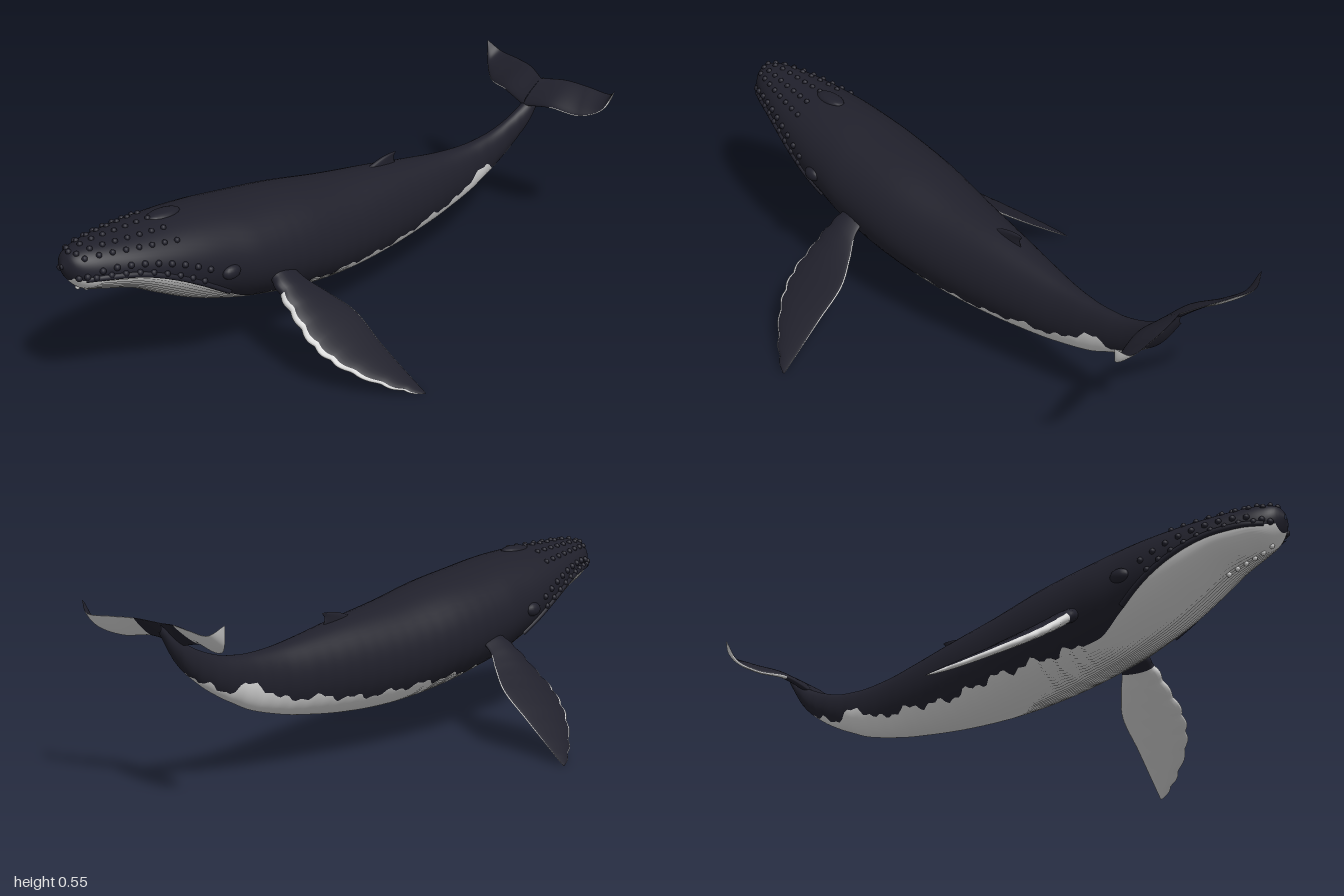
import * as THREE from 'three';
import { mergeGeometries } from 'three/addons/utils/BufferGeometryUtils.js';

const V = (x, y, z) => new THREE.Vector3(x, y, z);

// body stations, nose to tail: z, top y, underside y, half width, y of the colour edge
const STATIONS = [
  [1, 0.505, 0.49, 0.006, 0.495], [0.985, 0.532, 0.455, 0.04, 0.47], [0.95, 0.546, 0.418, 0.068, 0.462],
  [0.9, 0.552, 0.4, 0.09, 0.462], [0.8, 0.552, 0.372, 0.123, 0.448], [0.7, 0.552, 0.32, 0.148, 0.41],
  [0.6, 0.55, 0.27, 0.165, 0.355], [0.5, 0.543, 0.232, 0.175, 0.29], [0.4, 0.53, 0.203, 0.184, 0.238],
  [0.2, 0.505, 0.162, 0.178, 0.22], [0, 0.47, 0.142, 0.152, 0.214], [-0.2, 0.442, 0.147, 0.118, 0.208],
  [-0.4, 0.41, 0.172, 0.08, 0.238], [-0.5, 0.397, 0.193, 0.06, 0.245], [-0.6, 0.392, 0.222, 0.046, 0.3],
  [-0.66, 0.396, 0.25, 0.04, 0.31], [-0.72, 0.405, 0.28, 0.034, 0.3], [-0.8, 0.432, 0.33, 0.027, 0.34],
  [-0.88, 0.475, 0.4, 0.024, 0.4], [-0.95, 0.53, 0.505, 0.008, 0.5],
];

// smooth interpolation of the stations at any z
function station(z) {
  const S = STATIONS, last = S.length - 1;
  let k = 0;
  while (k < last - 1 && z < S[k + 1][0]) k++;
  const slope = (i, c) => {
    const a = S[Math.max(i - 1, 0)], b = S[Math.min(i + 1, last)];
    return (b[c] - a[c]) / (b[0] - a[0]);
  };
  const d = S[k + 1][0] - S[k][0], t = (z - S[k][0]) / d, t2 = t * t, t3 = t2 * t;
  const [top, bottom, w, edge] = [1, 2, 3, 4].map((c) =>
    (2 * t3 - 3 * t2 + 1) * S[k][c] + (t3 - 2 * t2 + t) * d * slope(k, c) +
    (3 * t2 - 2 * t3) * S[k + 1][c] + (t3 - t2) * d * slope(k + 1, c));
  const c = (top + bottom) / 2, h = (top - bottom) / 2;
  // ragged colour edge behind the throat
  const rag = z < 0.35 ? 0.008 * Math.sin(z * 47) + 0.006 * Math.sin(z * 113 + 1) : 0;
  const edgeAngle = Math.asin(THREE.MathUtils.clamp((edge + rag - c) / h, -0.995, 0.6));
  return { c, h, w, edgeAngle };
}

// point on the body skin; the lower half is slightly keeled
function skin(z, a, inset = 0) {
  const { c, h, w } = station(z);
  const cos = Math.cos(a), sin = Math.sin(a);
  const x = sin < 0 ? Math.sign(cos) * Math.abs(cos) ** 1.15 : cos;
  return V(x * (w - inset), c + sin * (h - inset), z);
}

// closed loops joined to a skin; isDark(row, column) picks the material group
function loft(rows, isDark, flip = false) {
  const n = rows[0].length, dark = [], light = [];
  for (let i = 0; i < rows.length - 1; i++) {
    for (let j = 0; j < n; j++) {
      const j2 = (j + 1) % n;
      const a = i * n + j, b = i * n + j2, c = a + n, d = b + n - 0;
      const tri = flip ? [a, b, c, b, d, c] : [a, c, b, b, c, d];
      (isDark(i, j) ? dark : light).push(...tri);
    }
  }
  const g = new THREE.BufferGeometry();
  g.setAttribute('position', new THREE.Float32BufferAttribute(rows.flat().flatMap((p) => [p.x, p.y, p.z]), 3));
  g.setIndex(dark.concat(light));
  g.addGroup(0, dark.length, 0);
  g.addGroup(dark.length, light.length, 1);
  g.computeVertexNormals();
  return g;
}

// fin between a leading and a trailing edge, with optional scallops in front
function fin({ lead, trail, thick, scallop = 0, side = 1, isDark, steps = 72, around = 24 }) {
  const L = new THREE.CatmullRomCurve3(lead), T = new THREE.CatmullRomCurve3(trail);
  const rows = [];
  for (let i = 0; i <= steps; i++) {
    const s = i / steps, l = L.getPoint(s), t = T.getPoint(s);
    const chord = t.clone().sub(l);
    const s0 = Math.max(s - 0.02, 0), s1 = Math.min(s + 0.02, 1);
    const span = L.getPoint(s1).add(T.getPoint(s1)).sub(L.getPoint(s0)).sub(T.getPoint(s0));
    const normal = span.cross(chord).normalize();
    const bump = scallop * Math.abs(Math.sin(s * Math.PI * 10)) * Math.min(1, s * 4);
    l.addScaledVector(chord.clone().normalize(), -bump);
    chord.subVectors(t, l);
    const half = thick * Math.sqrt(Math.max(0, 1 - s ** 3)) * (1 - 0.45 * s);
    const row = [];
    for (let j = 0; j < around; j++) {
      const a = (j / around) * Math.PI * 2, u = (1 - Math.cos(a)) / 2;
      const p = l.clone().addScaledVector(chord, u).addScaledVector(normal, half * Math.sin(a) * (1.25 - 0.8 * u));
      p.x *= side;
      row.push(p);
    }
    rows.push(row);
  }
  return loft(rows, (i, j) => isDark(i / steps, j), side < 0);
}

export function createModel() {
  const dark = new THREE.MeshStandardMaterial({ color: 0x20202b });
  dark.name = 'dark skin';
  const light = new THREE.MeshStandardMaterial({ color: 0xd6d6d6 });
  light.name = 'pale skin';
  const model = new THREE.Group();
  model.name = 'whale';
  const add = (name, geometry, material = [dark, light]) => {
    const m = new THREE.Mesh(geometry, material);
    m.name = name;
    model.add(m);
    return m;
  };

  // body with a dark back and a grooved pale throat and belly
  const UP = 32, LOW = 48, ROWS = 160, rows = [];
  for (let i = 0; i <= ROWS; i++) {
    const z = 1 - 1.95 * (i / ROWS) ** 1.3, e = station(z).edgeAngle;
    const groove = 0.005 * THREE.MathUtils.smoothstep(z, -0.05, 0.25) * (1 - THREE.MathUtils.smoothstep(z, 0.85, 0.97));
    const row = [];
    for (let j = 0; j < UP; j++) row.push(skin(z, e + (Math.PI - 2 * e) * (j / UP)));
    for (let j = 0; j < LOW; j++) {
      row.push(skin(z, Math.PI - e + (Math.PI + 2 * e) * (j / LOW), j % 2 ? groove : 0));
    }
    rows.push(row);
  }
  const zOf = (i) => rows[i][0].z;
  add('body', loft(rows, (i, j) => j < UP || zOf(i) < -0.84 || zOf(i) > 0.985));

  // knobs on the head and along the lips
  const knobs = [], chinKnobs = [];
  const knob = (list, p, r) => list.push(new THREE.SphereGeometry(r, 10, 8).translate(p.x, p.y, p.z));
  for (let k = 0; k < 10; k++) {
    const z = 0.975 - k * 0.04;
    if (k < 8) knob(knobs, skin(z, Math.PI / 2), 0.009);
    for (const side of [1, -1]) {
      const place = (zz, a, r) => {
        const p = skin(zz, a);
        p.x *= side;
        knob(knobs, p, r);
      };
      const e = station(z).edgeAngle;
      place(z, e + 0.14, 0.01);
      place(z - 0.018, e + 0.42, 0.01);
      if (k < 8) place(z - 0.01, 1.15, 0.009);
      if (k < 8) place(z - 0.022, 0.78, 0.009);
    }
  }
  for (let k = 0; k < 6; k++) knob(chinKnobs, skin(0.95 - k * 0.03, -Math.PI / 2), 0.008);
  add('headKnobs', mergeGeometries(knobs), dark);
  add('chinKnobs', mergeGeometries(chinKnobs), light);

  // blowhole ridge
  const ridge = add('blowholeRidge', new THREE.SphereGeometry(1, 16, 10), dark);
  ridge.scale.set(0.03, 0.014, 0.06);
  ridge.position.set(0, 0.548, 0.64);

  for (const side of [1, -1]) {
    const label = side > 0 ? 'left' : 'right';

    // lip running from the snout back to the eye
    const lip = [];
    for (let z = 0.96; z > 0.5; z -= 0.05) {
      const p = skin(z, station(z).edgeAngle + 0.06);
      p.x *= side;
      lip.push(p);
    }
    add(label + 'Lip', new THREE.TubeGeometry(new THREE.CatmullRomCurve3(lip), 40, 0.009, 8), dark);

    // eye swelling
    const eye = add(label + 'Eye', new THREE.SphereGeometry(1, 16, 12), dark);
    eye.scale.set(0.018, 0.022, 0.032);
    eye.position.set(side * 0.171, 0.385, 0.525);

    // long scalloped flipper, pale below and along the edges
    add(label + 'Flipper', fin({
      side, thick: 0.024, scallop: 0.009,
      lead: [V(0.14, 0.325, 0.37), V(0.2, 0.29, 0.375), V(0.28, 0.23, 0.38), V(0.37, 0.165, 0.378),
        V(0.45, 0.11, 0.335), V(0.54, 0.048, 0.235), V(0.597, 0.012, 0.145)],
      trail: [V(0.14, 0.325, 0.285), V(0.2, 0.29, 0.27), V(0.26, 0.245, 0.225), V(0.33, 0.195, 0.18),
        V(0.43, 0.122, 0.167), V(0.53, 0.055, 0.15), V(0.597, 0.012, 0.138)],
      isDark: (s, j) => s < 0.2 || (j >= 2 && j < 11),
    }));

    // tail fluke
    add(label + 'Fluke', fin({
      side, thick: 0.012,
      lead: [V(0, 0.455, -0.86), V(0.1, 0.475, -0.875), V(0.2, 0.468, -0.91), V(0.26, 0.495, -0.95), V(0.29, 0.563, -0.975)],
      trail: [V(0, 0.53, -0.94), V(0.08, 0.54, -0.972), V(0.16, 0.538, -0.99), V(0.25, 0.537, -0.999), V(0.291, 0.567, -0.979)],
      isDark: (s, j) => s < 0.25 || (j >= 1 && j < 12),
    }));
  }

  // small hooked fin on the back
  add('dorsalFin', fin({
    thick: 0.012, steps: 20,
    lead: [V(0, 0.41, -0.08), V(0, 0.445, -0.17), V(0, 0.462, -0.23), V(0, 0.466, -0.28)],
    trail: [V(0, 0.40, -0.3), V(0, 0.43, -0.28), V(0, 0.45, -0.275), V(0, 0.464, -0.285)],
    isDark: () => true,
  }));

  return model;
}
